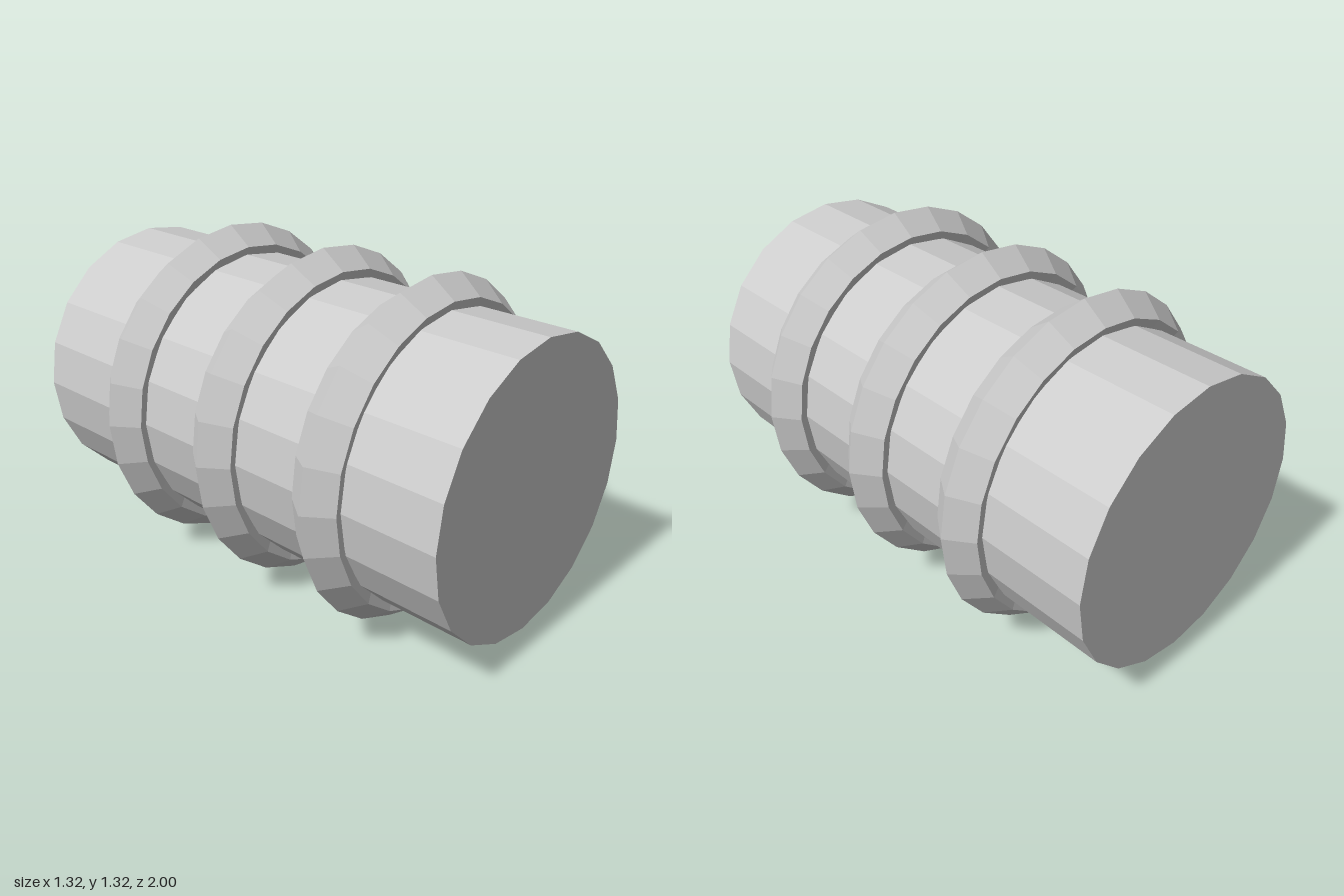
import * as THREE from 'three';

export function createModel() {
  const group = new THREE.Group();
  group.name = 'ribbedBarrel';

  const grey = new THREE.MeshStandardMaterial({ color: 0xcccccc, flatShading: true });
  grey.name = 'light grey';

  const axisY = 0.663;
  const radius = 0.555;

  // Closed barrel lying along z
  const bodyGeometry = new THREE.CylinderGeometry(radius, radius, 2, 20);
  bodyGeometry.rotateX(Math.PI / 2);
  const body = new THREE.Mesh(bodyGeometry, grey);
  body.name = 'body';
  body.position.y = axisY;
  group.add(body);

  // Three ridged hoops with a five-sided section, point outwards
  const hoopGeometry = new THREE.TorusGeometry(radius, 0.105, 5, 24);
  [['frontHoop', 0.527], ['middleHoop', 0.027], ['backHoop', -0.473]].forEach(([name, z]) => {
    const hoop = new THREE.Mesh(hoopGeometry, grey);
    hoop.name = name;
    hoop.position.set(0, axisY, z);
    group.add(hoop);
  });

  return group;
}
